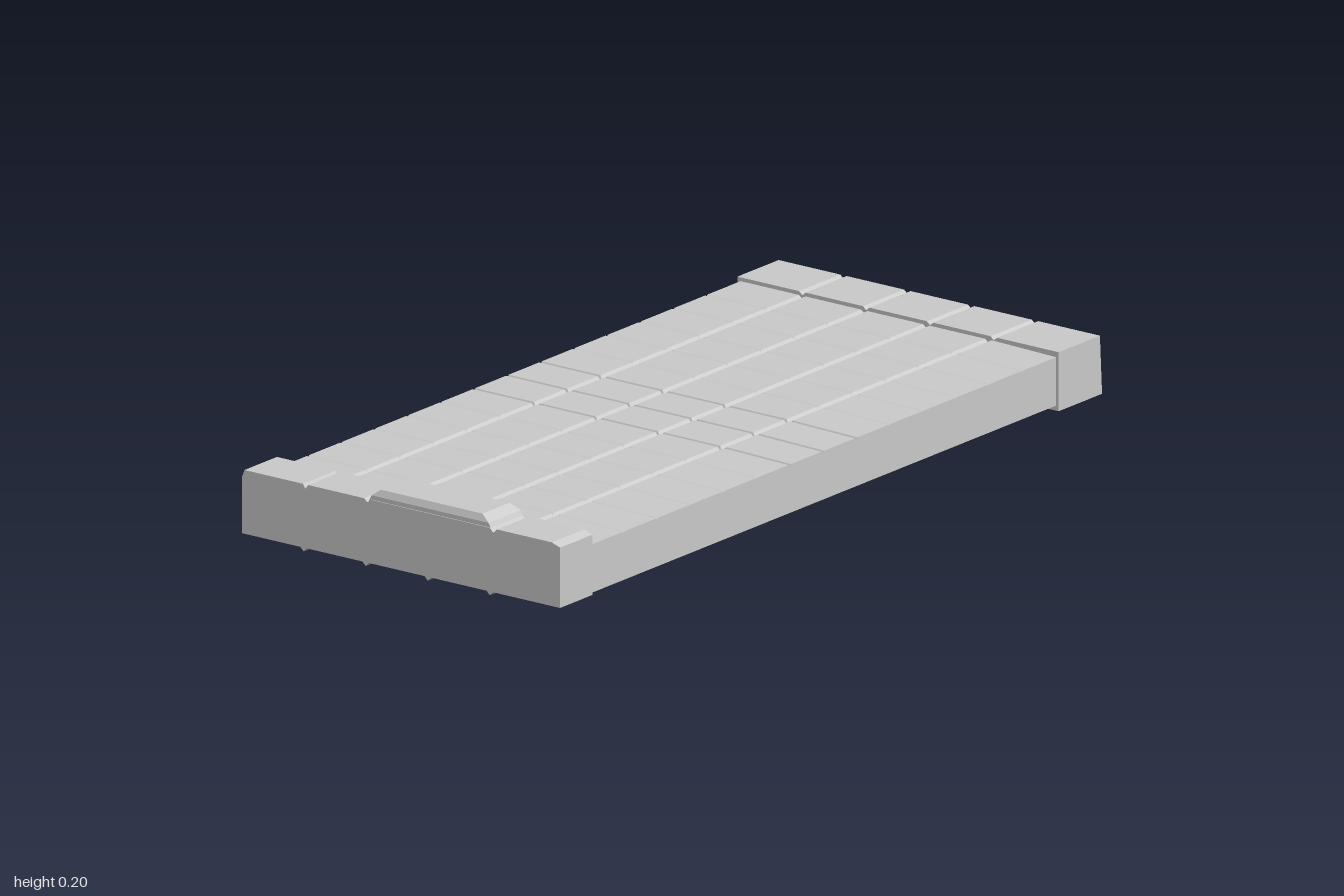
import * as THREE from 'three';

const material = new THREE.MeshStandardMaterial({ color: 0xcccccc, flatShading: true });

function addMesh(group, geometry, name) {
  const mesh = new THREE.Mesh(geometry, material);
  mesh.name = name;
  group.add(mesh);
  return mesh;
}

// Sorted stations from a to b: three around every V joint
function stations(a, b, joints, half) {
  return [a, ...joints.flatMap((j) => [j - half, j, j + half]), b];
}

// Box whose top is cut and whose underside is ribbed along joint lines
function jointedBlock({ x, y, z, xJoints = [], zJoints = [], depthX = () => 0, depthZ = 0.008, rib = 0.009, shape }) {
  const xs = stations(x[0], x[1], xJoints, 0.005);
  const zs = stations(z[0], z[1], zJoints, 0.009);
  const box = new THREE.BoxGeometry(1, 1, 1, xs.length - 1, 1, zs.length - 1);
  const p = box.attributes.position;
  for (let i = 0; i < p.count; i++) {
    const px = xs[Math.round((p.getX(i) + 0.5) * (xs.length - 1))];
    const pz = zs[Math.round((p.getZ(i) + 0.5) * (zs.length - 1))];
    const top = p.getY(i) > 0;
    const onZ = zJoints.includes(pz), onX = xJoints.includes(px);
    const py = top
      ? y[1] - Math.max(onZ ? depthZ : 0, onX ? depthX(px) : 0)
      : y[0] - (onZ ? rib : 0);
    const v = new THREE.Vector3(px, py, pz);
    if (shape) shape(v, top);
    p.setXYZ(i, v.x, v.y, v.z);
  }
  const geometry = box.toNonIndexed();
  geometry.computeVertexNormals();
  return geometry;
}

// Low block with a bevelled top rim
function bevelledCap(x, y, z, bevelX, bevelZ, rise) {
  const box = new THREE.BoxGeometry(1, 1, 1, 1, 2, 1);
  const p = box.attributes.position;
  for (let i = 0; i < p.count; i++) {
    const level = Math.round((p.getY(i) + 0.5) * 2);
    const inX = level === 2 ? bevelX : 0;
    const inZ = [0, 0.012, 0.012 + bevelZ][level];
    p.setXYZ(i,
      p.getX(i) > 0 ? x[1] - inX : x[0] + inX / 2,
      [y[0], y[1] - rise, y[1]][level],
      p.getZ(i) > 0 ? z[1] - inZ : z[0] + inZ);
  }
  const geometry = box.toNonIndexed();
  geometry.computeVertexNormals();
  return geometry;
}

export function createModel() {
  const group = new THREE.Group();
  group.name = 'pavedSlab';

  const slabJoints = [-0.27, -0.095, 0.08, 0.255];
  const endJoints = [-0.27, -0.09, 0.09, 0.27];

  // Main paving: shallow cross joints, three deeper ones near the middle
  const crossJoints = Array.from({ length: 13 }, (_, i) => -0.756 + i * 0.1225);
  const isDeep = (x) => x > -0.2 && x < 0.15;
  addMesh(group, jointedBlock({
    x: [-0.89, 0.85], y: [0.022, 0.14], z: [-0.444, 0.446],
    xJoints: crossJoints, zJoints: slabJoints,
    depthX: (x) => (isDeep(x) ? 0.009 : 0.003),
    shape: (v, top) => { if (top && v.z > 0.44) v.y -= 0.004; },
  }), 'pavingSlab');

  // Plain end beam with a slightly leaning outer face
  addMesh(group, jointedBlock({
    x: [0.84, 1], y: [0.01, 0.149], z: [-0.453, 0.453],
    zJoints: endJoints, rib: 0.01,
    shape: (v, top) => { if (top && v.x > 0.95) v.x -= 0.008; },
  }), 'endBeam');

  // Raised kerb at the other end, chamfered at its outer corners
  addMesh(group, jointedBlock({
    x: [-1, -0.88], y: [0.02, 0.155], z: [-0.444, 0.453],
    zJoints: slabJoints, depthZ: 0, rib: 0.009,
  }), 'kerbBase');
  const kerbTop = new THREE.Shape();
  [[-0.453, 0.15], [0.444, 0.15], [0.437, 0.17], [0.272, 0.17], [0.265, 0.16], [0.257, 0.17],
    [0.1, 0.17], [0.09, 0.162], [0.08, 0.17], [-0.255, 0.17], [-0.265, 0.16], [-0.275, 0.17],
    [-0.43, 0.17], [-0.453, 0.162]]
    .forEach(([u, v], i) => (i ? kerbTop.lineTo(u, v) : kerbTop.moveTo(u, v)));
  const kerbGeometry = new THREE.ExtrudeGeometry(kerbTop, { depth: 0.12, bevelEnabled: false });
  kerbGeometry.rotateY(Math.PI / 2);
  kerbGeometry.translate(-1, 0, 0);
  addMesh(group, kerbGeometry, 'kerbTop');

  // Bevelled cap on the kerb
  addMesh(group, bevelledCap([-0.998, -0.88], [0.158, 0.196], [-0.092, 0.262], 0.012, 0.022, 0.016), 'kerbCap');

  // Row of small blocks on the inner face under the cap
  for (let i = 0; i < 7; i++) {
    const tooth = addMesh(group, new THREE.BoxGeometry(0.012, 0.023, 0.028), 'kerbTooth');
    tooth.position.set(-0.88, 0.159, 0.195 - i * 0.0375);
  }

  return group;
}
